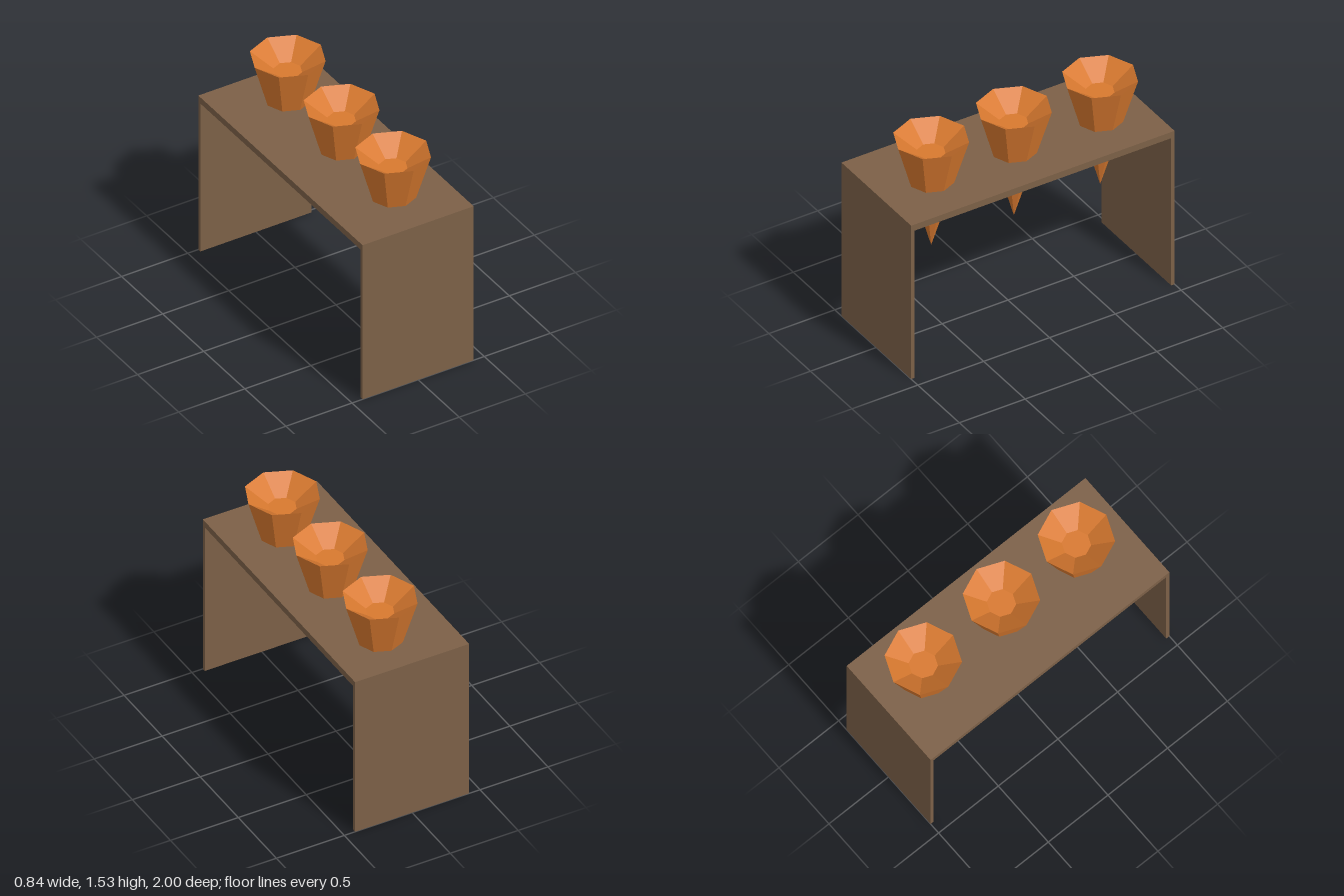
import * as THREE from 'three';

export function createModel() {
  const model = new THREE.Group();
  const wood = new THREE.MeshStandardMaterial({ color: 0x7c6047, flatShading: true });
  wood.name = 'brown wood';
  const orange = new THREE.MeshStandardMaterial({ color: 0xd8792f, flatShading: true });
  orange.name = 'orange';

  const width = 0.84, height = 1.2, topThickness = 0.048, legThickness = 0.026;

  function addBoard(name, h, d, y, z) {
    const board = new THREE.Mesh(new THREE.BoxGeometry(width, h, d), wood);
    board.name = name;
    board.position.set(0, y, z);
    model.add(board);
  }

  // Rack: a top board carried by two panel legs
  addBoard('topBoard', topThickness, 2, height - topThickness / 2, 0);
  const legHeight = height - topThickness;
  for (const side of [1, -1]) {
    addBoard(side > 0 ? 'frontLeg' : 'backLeg', legHeight, legThickness,
      legHeight / 2, side * (1 - legThickness / 2));
  }

  // Cones: eight-sided, pointed below, with a shallow dished mouth
  const profile = [[0, 0.69], [0.25, 1.53], [0.095, 1.42], [0, 1.42]]
    .map(([r, y]) => new THREE.Vector2(r, y));
  const coneGeometry = new THREE.LatheGeometry(profile, 8);
  [0.615, -0.013, -0.668].forEach((z, i) => {
    const cone = new THREE.Mesh(coneGeometry, orange);
    cone.name = `cone${i + 1}`;
    cone.position.set(0.05, 0, z);
    model.add(cone);
  });

  return model;
}
